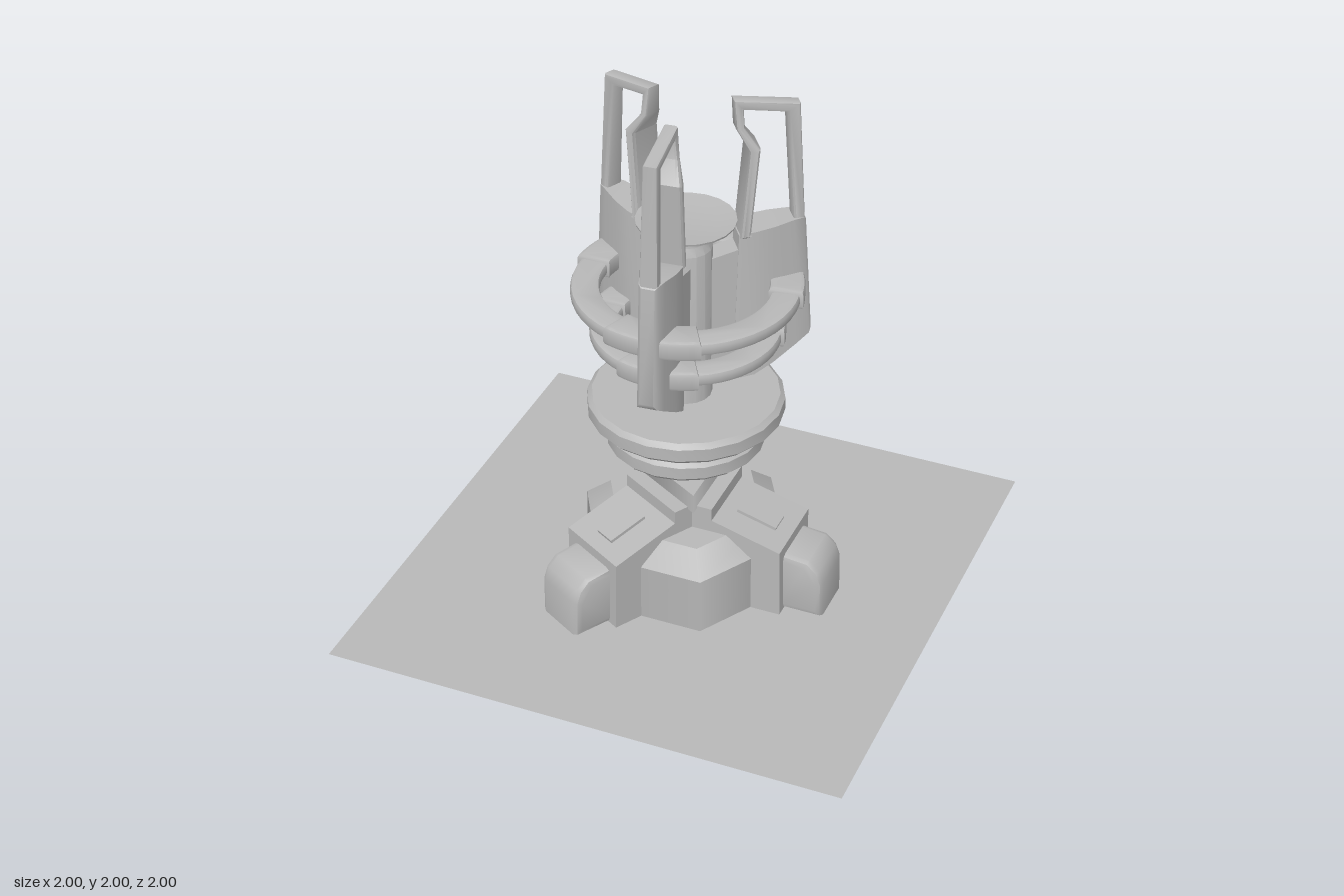
import * as THREE from 'three';
import { toCreasedNormals } from 'three/addons/utils/BufferGeometryUtils.js';

const metal = new THREE.MeshStandardMaterial({ color: 0xb8b8b8 });
metal.name = 'grey metal';
const groundGrey = new THREE.MeshStandardMaterial({ color: 0xb8b8b8, side: THREE.DoubleSide });
groundGrey.name = 'ground grey';

const RAD = Math.PI / 180;
const vecs = (pts) => pts.map(([x, y]) => new THREE.Vector2(x, y));

function part(parent, name, geometry, material = metal) {
  const mesh = new THREE.Mesh(geometry, material);
  mesh.name = name;
  parent.add(mesh);
  return mesh;
}

// Radial side profile (radius, height) extruded to a width centred on z = 0
function slab(points, width, bevel = 0, hole = null) {
  const shape = new THREE.Shape(vecs(points));
  if (hole) shape.holes.push(new THREE.Path(vecs(hole)));
  const depth = width - 2 * bevel;
  const g = new THREE.ExtrudeGeometry(shape, {
    depth, bevelEnabled: bevel > 0, bevelThickness: bevel, bevelSize: bevel, bevelOffset: -bevel, bevelSegments: 2,
  });
  return g.translate(0, 0, -depth / 2);
}

// Bevelled ring sector between two angles, centred on height y
function sector(inner, outer, from, to, y, height) {
  const shape = new THREE.Shape();
  shape.absarc(0, 0, outer, from * RAD, to * RAD, false);
  shape.absarc(0, 0, inner, to * RAD, from * RAD, true);
  const b = 0.014, depth = height - 2 * b;
  const g = new THREE.ExtrudeGeometry(shape, {
    depth, curveSegments: to - from > 60 ? 8 : 3, bevelThickness: b, bevelSize: b, bevelOffset: -b, bevelSegments: 2,
  });
  g.rotateX(Math.PI / 2).translate(0, y + depth / 2, 0);
  return toCreasedNormals(g, 0.6);
}

// Fin body: stations [bottom radius, bottom y, top radius, top y, half width]
function finBody(stations) {
  const pos = [], index = [];
  for (const [rb, yb, rt, yt, w] of stations) {
    pos.push(rb, yb, w, rb, yb, -w, rt, yt, -w, rt, yt, w);
  }
  const last = (stations.length - 1) * 4;
  for (let s = 0; s < last; s += 4) {
    for (let i = 0; i < 4; i++) {
      const a = s + i, b = s + (i + 1) % 4;
      index.push(a, b, b + 4, a, b + 4, a + 4);
    }
  }
  index.push(0, 2, 1, 0, 3, 2, last, last + 1, last + 2, last, last + 2, last + 3);
  const g = new THREE.BufferGeometry();
  g.setAttribute('position', new THREE.Float32BufferAttribute(pos, 3));
  g.setIndex(index);
  return toCreasedNormals(g, 0.7);
}

function makeLeg() {
  const leg = new THREE.Group();
  leg.name = 'leg';
  part(leg, 'legArm', slab([[0, 0.003], [0.44, 0.003], [0.435, 0.285], [0.165, 0.36], [0.165, 0.41], [0, 0.41]], 0.3));
  part(leg, 'foot', toCreasedNormals(
    slab([[0.4, 0.003], [0.59, 0.003], [0.588, 0.15], [0.57, 0.2], [0.53, 0.237], [0.4, 0.25]], 0.225, 0.025), 0.7));
  const plate = part(leg, 'legPanel', new THREE.BoxGeometry(0.16, 0.02, 0.085));
  plate.position.set(0.3, 0.325, 0);
  plate.rotation.z = Math.atan2(-0.075, 0.27);
  return leg;
}

function makeFin() {
  const fin = new THREE.Group();
  fin.name = 'fin';
  part(fin, 'finBody', finBody([
    [0.165, 0.86, 0.182, 1.47, 0.045], [0.24, 0.885, 0.24, 1.49, 0.066], [0.31, 0.925, 0.31, 1.5, 0.062],
    [0.4, 0.985, 0.38, 1.51, 0.047], [0.45, 1.02, 0.42, 1.51, 0.036], [0.459, 1.04, 0.43, 1.5, 0.025],
  ]));

  // Open frame above the body, with a thicker inner strut
  const frame = slab(
    [[0.428, 1.46], [0.402, 1.965], [0.165, 2.0], [0.172, 1.89], [0.215, 1.81], [0.185, 1.46]], 0.07, 0.01,
    [[0.385, 1.48], [0.355, 1.935], [0.2, 1.96], [0.202, 1.89], [0.255, 1.815], [0.225, 1.48]]);
  const p = frame.attributes.position;
  for (let i = 0; i < p.count; i++) {
    const inner = p.getX(i) < 0.27 && p.getY(i) < 1.84;
    const top = p.getY(i) > 1.92;
    p.setZ(i, p.getZ(i) * (inner ? 1.8 : top ? 0.75 : 1));
  }
  part(fin, 'finFrame', toCreasedNormals(frame, 0.6));

  // Web joining the fin to the column
  part(fin, 'finWeb', slab([[0.07, 0.87], [0.2, 0.94], [0.2, 1.415], [0.07, 1.38]], 0.085));
  return fin;
}

function discGeometry(radius, bottom, top) {
  const b = 0.018;
  return toCreasedNormals(new THREE.LatheGeometry(vecs([
    [0, bottom], [radius - b, bottom], [radius, bottom + b], [radius, top - b], [radius - b, top], [0, top],
  ]), 20), 0.45);
}

export function createModel() {
  const model = new THREE.Group();
  model.name = 'pylon';

  part(model, 'groundPlate', new THREE.PlaneGeometry(2, 2).rotateX(-Math.PI / 2), groundGrey);

  // Hexagonal hub with a chamfered top (corners at 0, 60, 120 degrees...)
  const base = new THREE.Group();
  base.name = 'base';
  model.add(base);
  const hubLower = new THREE.CylinderGeometry(0.41, 0.41, 0.227, 6, 1, false, Math.PI / 6);
  part(base, 'hub', hubLower.translate(0, 0.1165, 0));
  const hubTop = new THREE.CylinderGeometry(0.31, 0.41, 0.08, 6, 1, false, Math.PI / 6);
  part(base, 'hubChamfer', hubTop.translate(0, 0.27, 0));

  // Three legs
  for (let i = 0; i < 3; i++) {
    const leg = makeLeg();
    leg.rotation.y = -i * 120 * RAD;
    base.add(leg);
  }

  // Triangular collar, flat sides facing the legs
  const collar = new THREE.CylinderGeometry(0.212, 0.212, 0.08, 3, 1, false, -Math.PI / 2);
  part(base, 'collar', collar.translate(0, 0.44, 0));

  // Column, discs and dish
  part(model, 'column', toCreasedNormals(new THREE.LatheGeometry(vecs([
    [0.096, 0.45], [0.096, 1.43], [0.08, 1.46], [0.08, 1.51],
  ]), 16), 0.5));
  part(model, 'lowerDisc', discGeometry(0.295, 0.597, 0.68));
  part(model, 'upperDisc', discGeometry(0.365, 0.725, 0.81));
  part(model, 'dish', toCreasedNormals(new THREE.LatheGeometry(vecs([
    [0, 1.49], [0.09, 1.497], [0.18, 1.53], [0.182, 1.538], [0.12, 1.53], [0, 1.525],
  ]), 20), 0.6));

  // Fins, with curved rails and end clamps bridging the gaps between them
  for (let i = 0; i < 3; i++) {
    const angle = 85 + i * 120;
    const fin = makeFin();
    fin.rotation.y = -angle * RAD;
    model.add(fin);
    for (const [label, y, inner, outer] of [['upper', 1.25, 0.31, 0.415], ['lower', 1.08, 0.25, 0.35]]) {
      part(model, label + 'Rail', sector(inner, outer, angle + 2, angle + 118, y, 0.05));
      part(model, label + 'ClampA', sector(inner - 0.01, outer + 0.012, angle + 2, angle + 25, y, 0.075));
      part(model, label + 'ClampB', sector(inner - 0.01, outer + 0.012, angle + 95, angle + 118, y, 0.075));
    }
  }
  return model;
}
